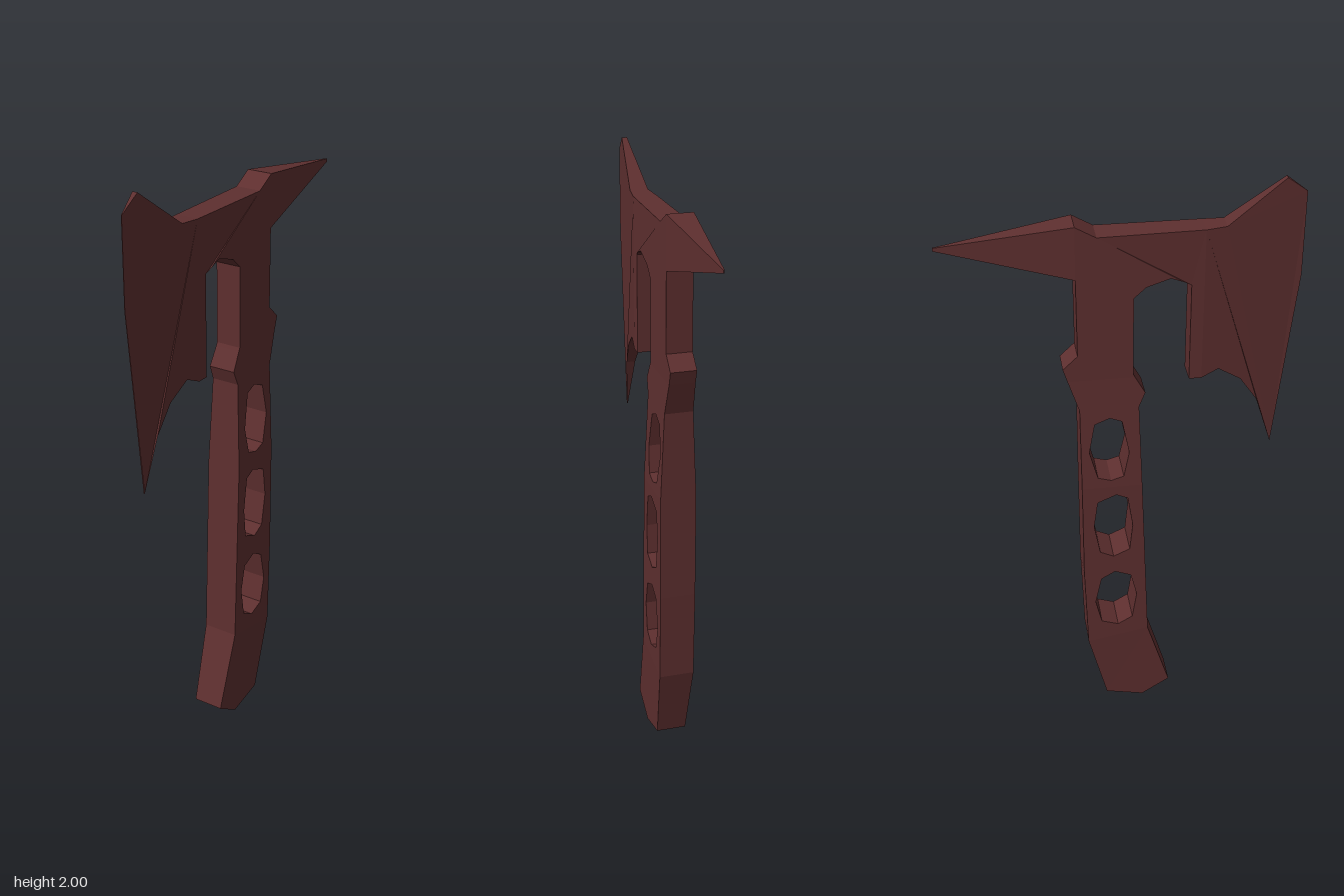
import * as THREE from 'three';

const { lerp, mapLinear } = THREE.MathUtils;

// Double-sided plate from a side outline of [z, y] points.
// half(z, y) gives the half thickness; seams lists outline edges that join a neighbouring part.
function plate(name, material, outline, half, seams = [], holes = []) {
  const position = [];
  const put = ([z, y], side) => position.push(side * half(z, y), y, z);
  const flat = (loop) => loop.map(([z, y]) => new THREE.Vector2(-z, y));
  const all = [outline, ...holes].flat();

  // Left and right faces
  for (const [a, b, c] of THREE.ShapeUtils.triangulateShape(flat(outline), holes.map(flat))) {
    for (const i of [a, b, c]) put(all[i], 1);
    for (const i of [a, c, b]) put(all[i], -1);
  }
  // Rim walls around the outline and inside the holes
  [outline, ...holes].forEach((loop, n) => loop.forEach((a, i) => {
    if (n === 0 && seams.includes(i)) return;
    const b = loop[(i + 1) % loop.length];
    put(a, -1); put(b, -1); put(b, 1);
    put(a, -1); put(b, 1); put(a, 1);
  }));

  const geometry = new THREE.BufferGeometry();
  geometry.setAttribute('position', new THREE.Float32BufferAttribute(position, 3));
  geometry.computeVertexNormals();
  const mesh = new THREE.Mesh(geometry, material);
  mesh.name = name;
  return mesh;
}

export function createModel() {
  const group = new THREE.Group();
  group.name = 'tacticalAxe';
  const steel = new THREE.MeshStandardMaterial({ color: 0x5e2f2f });
  steel.name = 'dark red steel';

  // Thickness rules
  const headHalf = (z) => (z > 0.2 ? 0.038 : 0.043);
  const bladeHalf = (z, y) => (y < 1.1 ? 0.002 : mapLinear(z, 0.25, 0.56, 0.038, 0.001));
  const spikeHalf = (z) => mapLinear(z, -0.145, -0.56, 0.043, 0.002);
  const gripHalf = (z, y) => {
    if (y > 0.96) return mapLinear(y, 0.96, 1.37, 0.06, 0.043);
    return lerp(0.05, 0.06, Math.min(y / 0.29, 1));
  };

  // Finger holes, top to bottom
  const holes = [
    [[-0.005, 1.21], [-0.045, 1.225], [-0.093, 1.205], [-0.112, 1.1],
      [-0.085, 1.0], [-0.042, 0.987], [0, 1.0], [0.018, 1.09]],
    [[0.013, 0.91], [-0.025, 0.927], [-0.087, 0.9], [-0.1, 0.8],
      [-0.08, 0.69], [-0.035, 0.668], [0.02, 0.694], [0.03, 0.795]],
    [[0.024, 0.578], [-0.03, 0.6], [-0.077, 0.572], [-0.098, 0.47],
      [-0.077, 0.38], [-0.02, 0.36], [0.03, 0.39], [0.045, 0.49]],
  ];

  group.add(
    // Head bridge and neck
    plate('head', steel, [
      [0.25, 1.345], [0.21, 1.345], [0.21, 1.68], [0.185, 1.695], [0.145, 1.71], [0.07, 1.685],
      [0.032, 1.65], [0.032, 1.38], [0.037, 1.37], [-0.176, 1.37], [-0.19, 1.415], [-0.143, 1.46],
      [-0.145, 1.725], [-0.145, 1.9], [-0.08, 1.862], [0.25, 1.862],
    ], headHalf, [8, 12, 15]),
    // Blade, tapering to the cutting edge
    plate('blade', steel, [
      [0.56, 1.95], [0.56, 1.67], [0.495, 1.055], [0.44, 1.23], [0.38, 1.32], [0.305, 1.37],
      [0.25, 1.345], [0.25, 1.862], [0.315, 1.865], [0.495, 2.0],
    ], bladeHalf, [6]),
    // Rear spike
    plate('spike', steel, [
      [-0.145, 1.725], [-0.56, 1.832], [-0.56, 1.842], [-0.145, 1.9],
    ], spikeHalf, [3]),
    // Handle in three lengths
    plate('upperGrip', steel, [
      [0.037, 1.37], [0.07, 1.31], [0.05, 1.26], [0.061, 0.96],
      [-0.138, 0.96], [-0.14, 1.26], [-0.176, 1.37],
    ], gripHalf, [3, 6], [holes[0]]),
    plate('middleGrip', steel, [
      [0.061, 0.96], [0.085, 0.33], [-0.125, 0.29], [-0.136, 0.6], [-0.138, 0.96],
    ], gripHalf, [1, 4], [holes[1], holes[2]]),
    plate('pommel', steel, [
      [0.085, 0.33], [0.165, 0.065], [0.07, 0], [-0.06, 0.03], [-0.125, 0.29],
    ], gripHalf, [4]),
  );
  return group;
}
